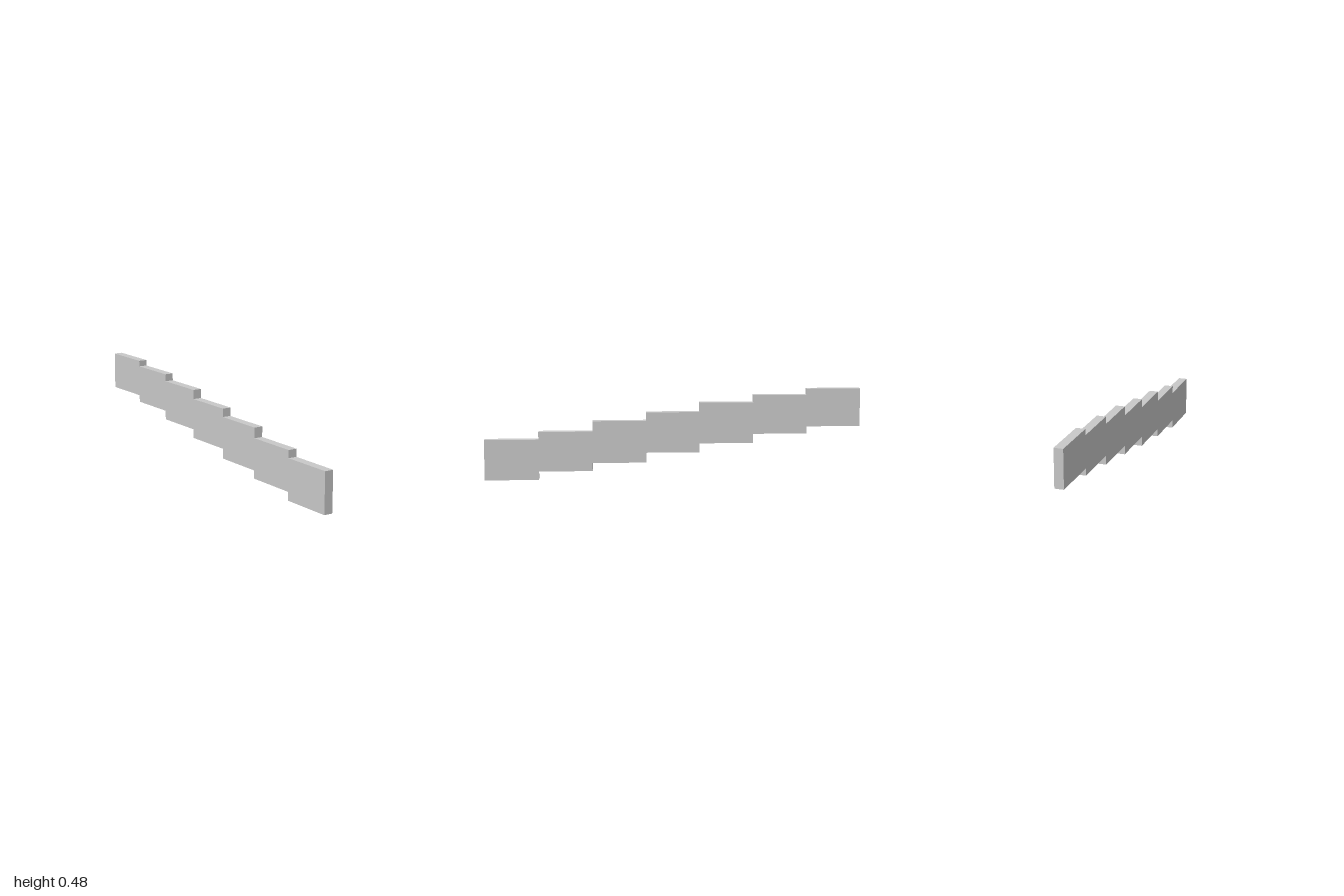
import * as THREE from 'three';

export function createModel() {
  const group = new THREE.Group();
  group.name = 'steppedWall';
  const grey = new THREE.MeshStandardMaterial({ color: 0xc8c8c8 });
  grey.name = 'light grey';

  // Stair profile, running from the low front end to the high back end
  const edges = [-1, -0.714, -0.428, -0.143, 0.141, 0.428, 0.714, 1];
  const tops = [0.216, 0.257, 0.312, 0.357, 0.407, 0.446, 0.478];
  const bottoms = [0, 0.045, 0.088, 0.141, 0.189, 0.238, 0.276];
  const points = [];
  for (let i = 0; i < 7; i++) {
    points.push(new THREE.Vector2(edges[i], bottoms[i]), new THREE.Vector2(edges[i + 1], bottoms[i]));
  }
  for (let i = 6; i >= 0; i--) {
    points.push(new THREE.Vector2(edges[i + 1], tops[i]), new THREE.Vector2(edges[i], tops[i]));
  }

  // Thin slab, turned so the profile climbs towards the back
  const width = 0.048;
  const geometry = new THREE.ExtrudeGeometry(new THREE.Shape(points), { depth: width, bevelEnabled: false });
  geometry.translate(0, 0, -width / 2);
  geometry.rotateY(Math.PI / 2);
  const slab = new THREE.Mesh(geometry, grey);
  slab.name = 'steppedSlab';
  group.add(slab);
  return group;
}
